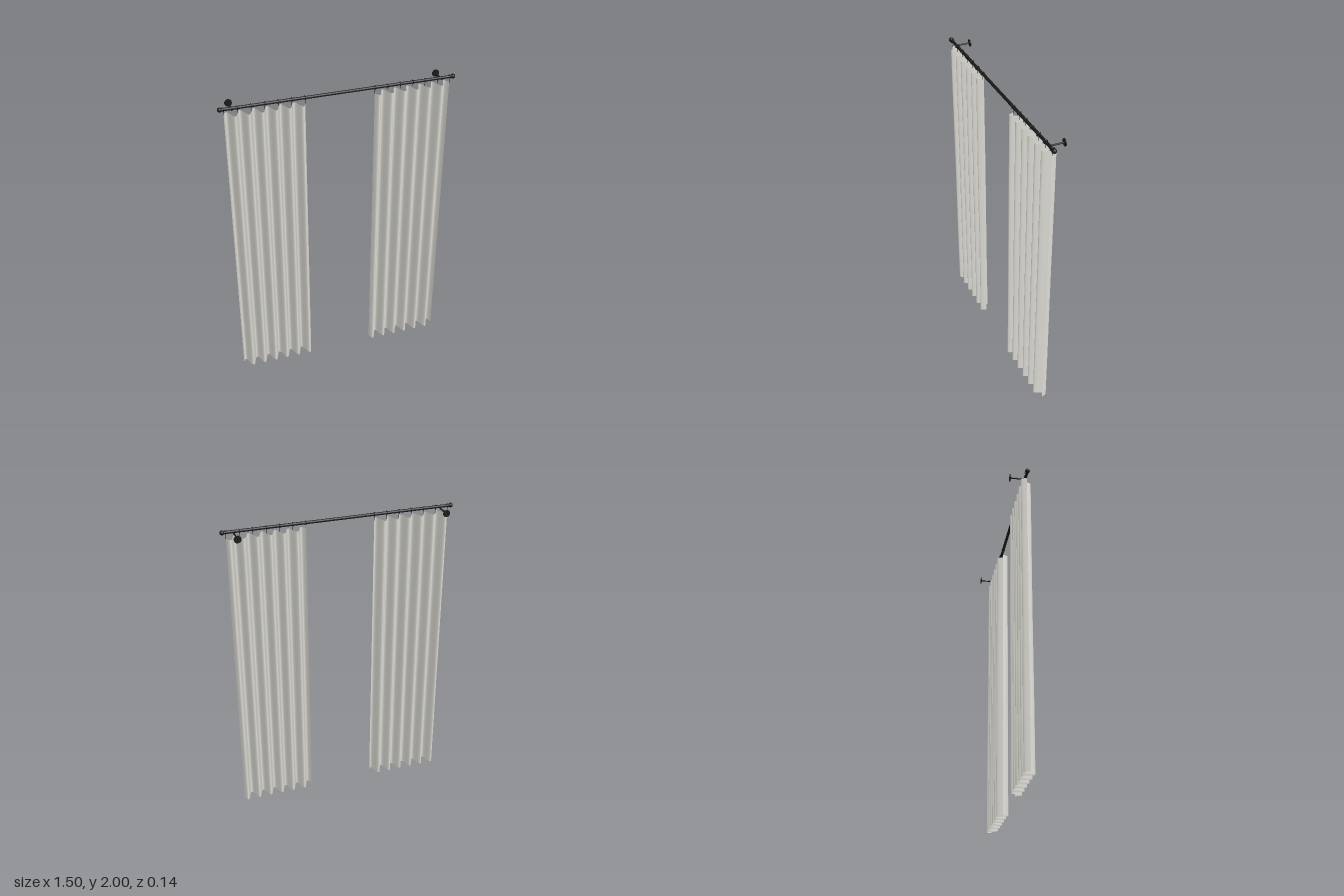
import * as THREE from 'three';

const ROD_Y = 1.985, ROD_Z = 0.033, CURTAIN_TOP = 1.948;
const INNER = 0.22, OUTER = 0.713, FOLDS = 6;

export function createModel() {
  const model = new THREE.Group();
  model.name = 'curtainSet';
  const fabric = new THREE.MeshStandardMaterial({ color: 0xdcdbd4, side: THREE.DoubleSide });
  fabric.name = 'pale linen';
  const metal = new THREE.MeshStandardMaterial({ color: 0x1a1a1b });
  metal.name = 'black metal';

  const add = (parent, name, geometry, material, x, y, z) => {
    const mesh = new THREE.Mesh(geometry, material);
    mesh.name = name;
    mesh.position.set(x, y, z);
    parent.add(mesh);
    return mesh;
  };

  // Rod across the whole width
  add(model, 'rod', new THREE.CylinderGeometry(0.0095, 0.0095, 1.46, 20).rotateZ(Math.PI / 2),
    metal, 0, ROD_Y, ROD_Z);

  const finial = new THREE.SphereGeometry(0.015, 20, 14);
  const armLength = 0.1;
  const arm = new THREE.CylinderGeometry(0.005, 0.005, armLength, 12).rotateX(Math.PI / 2);
  const plate = new THREE.CylinderGeometry(0.023, 0.023, 0.005, 24).rotateX(Math.PI / 2);
  const ring = new THREE.TorusGeometry(0.0125, 0.0018, 8, 24).rotateY(Math.PI / 2);
  const hook = new THREE.CylinderGeometry(0.0012, 0.0012, 0.026, 6);

  // Pleated sheet: sine folds counted from the outer edge, opening slightly downwards
  const curtainGeometry = (side) => {
    const width = OUTER - INNER;
    const geometry = new THREE.PlaneGeometry(width, CURTAIN_TOP, 120, 14);
    geometry.translate(side * (OUTER + INNER) / 2, CURTAIN_TOP / 2, 0);
    const p = geometry.attributes.position;
    for (let i = 0; i < p.count; i++) {
      const t = (OUTER - side * p.getX(i)) / width;
      const drop = 1 - p.getY(i) / CURTAIN_TOP;
      const depth = 0.0355 + 0.0015 * drop + 0.0006 * Math.sin(drop * 9 + t * 5);
      p.setZ(i, ROD_Z - depth * Math.sin(t * FOLDS * Math.PI * 2));
    }
    geometry.computeVertexNormals();
    return geometry;
  };

  for (const side of [-1, 1]) {
    const label = side > 0 ? 'left' : 'right';
    add(model, label + 'Finial', finial, metal, side * 0.734, ROD_Y, ROD_Z);

    // Wall bracket: round plate and arm reaching under the rod
    const bracket = new THREE.Group();
    bracket.name = label + 'Bracket';
    add(bracket, 'wallPlate', plate, metal, side * 0.663, 1.973, -0.0675);
    add(bracket, 'arm', arm, metal, side * 0.663, 1.973, -0.067 + armLength / 2);
    model.add(bracket);

    add(model, label + 'Curtain', curtainGeometry(side), fabric, 0, 0, 0);

    // One ring and hook at each full fold
    const rings = new THREE.Group();
    rings.name = label + 'Rings';
    for (let i = 0; i <= FOLDS; i++) {
      const x = side * (INNER + (OUTER - INNER) * i / FOLDS);
      add(rings, 'ring', ring, metal, x, ROD_Y, ROD_Z);
      add(rings, 'hook', hook, metal, x, 1.958, ROD_Z);
    }
    model.add(rings);
  }
  return model;
}
